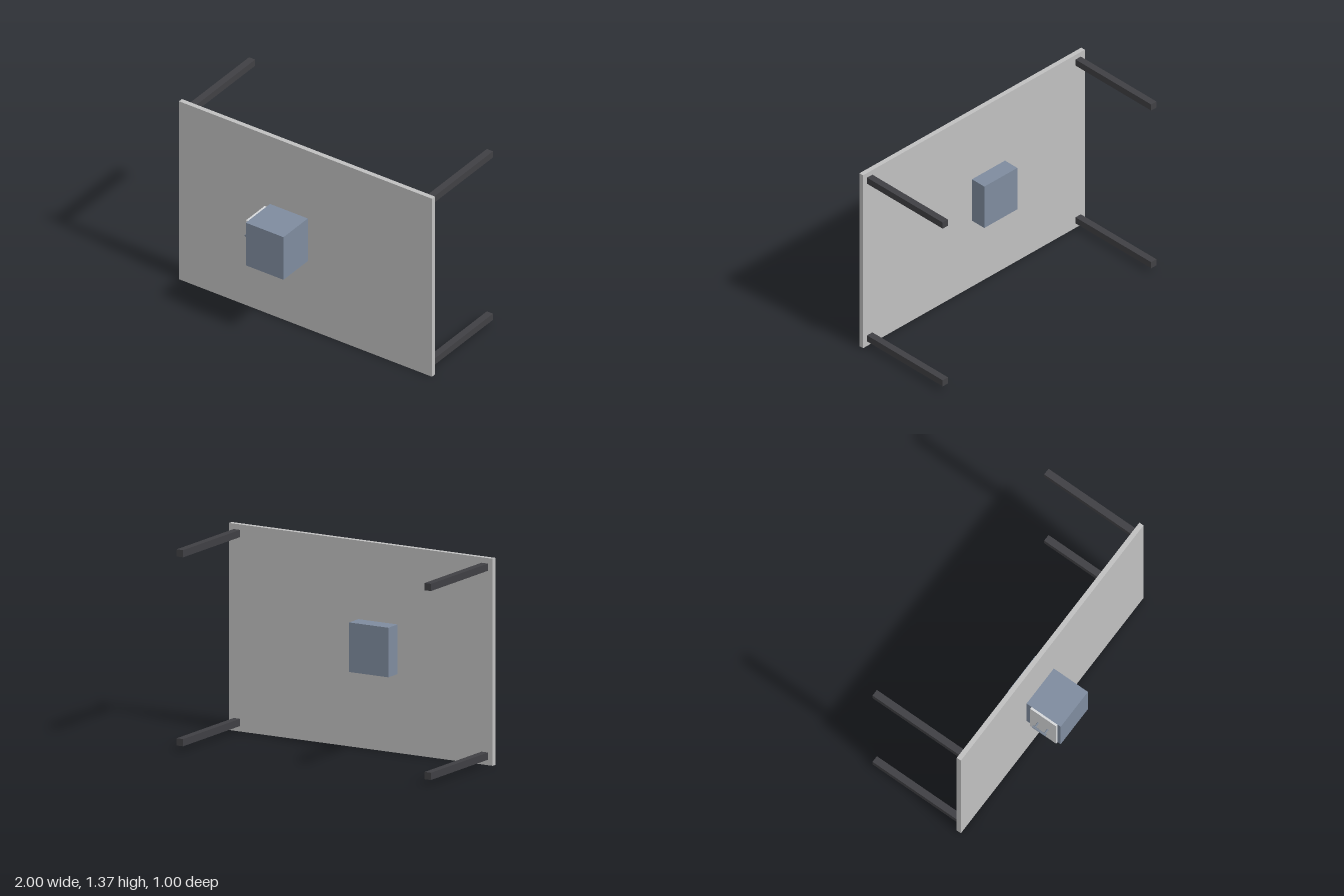
import * as THREE from 'three';

const material = (name, color) => {
  const m = new THREE.MeshStandardMaterial({ color });
  m.name = name;
  return m;
};

export function createModel() {
  const group = new THREE.Group();
  const paleGrey = material('pale grey', 0xc0c0c0);
  const charcoal = material('charcoal', 0x404044);
  const slateBlue = material('slate blue', 0x7f8c9f);
  const doorGrey = material('door grey', 0xd6d8da);
  const handleGrey = material('handle grey', 0x7c8796);

  const add = (name, geometry, mat, x = 0, y = 0, z = 0) => {
    const mesh = new THREE.Mesh(geometry, mat);
    mesh.name = name;
    mesh.position.set(x, y, z);
    group.add(mesh);
    return mesh;
  };

  // Box given by its lower and upper corners
  const box = (name, mat, [x0, y0, z0], [x1, y1, z1]) =>
    add(name, new THREE.BoxGeometry(x1 - x0, y1 - y0, z1 - z0), mat,
      (x0 + x1) / 2, (y0 + y1) / 2, (z0 + z1) / 2);

  // Upright table top
  box('tableTop', paleGrey, [-1, 0, 0.197], [1, 1.37, 0.23]);

  // Four legs reaching backwards from the corners
  for (const x of [-0.94, 0.94]) {
    for (const y of [0.06, 1.31]) {
      box('leg', charcoal, [x - 0.024, y - 0.024, -0.502], [x + 0.024, y + 0.024, 0.197]);
    }
  }

  // Cabinet passing through the table top, with a door on its right side
  box('cabinet', slateBlue, [-0.28, 0.522, 0.083], [0.018, 0.85, 0.502]);
  box('door', doorGrey, [-0.295, 0.524, 0.27], [-0.28, 0.85, 0.477]);

  // Horizontal handle: a grip on two posts
  const y = 0.687;
  add('handleGrip', new THREE.CylinderGeometry(0.008, 0.008, 0.106, 16), handleGrey,
    -0.336, y, 0.371).rotation.x = Math.PI / 2;
  for (const z of [0.333, 0.41]) {
    add('handlePost', new THREE.CylinderGeometry(0.006, 0.006, 0.044, 16), handleGrey,
      -0.315, y, z).rotation.z = Math.PI / 2;
  }

  return group;
}
